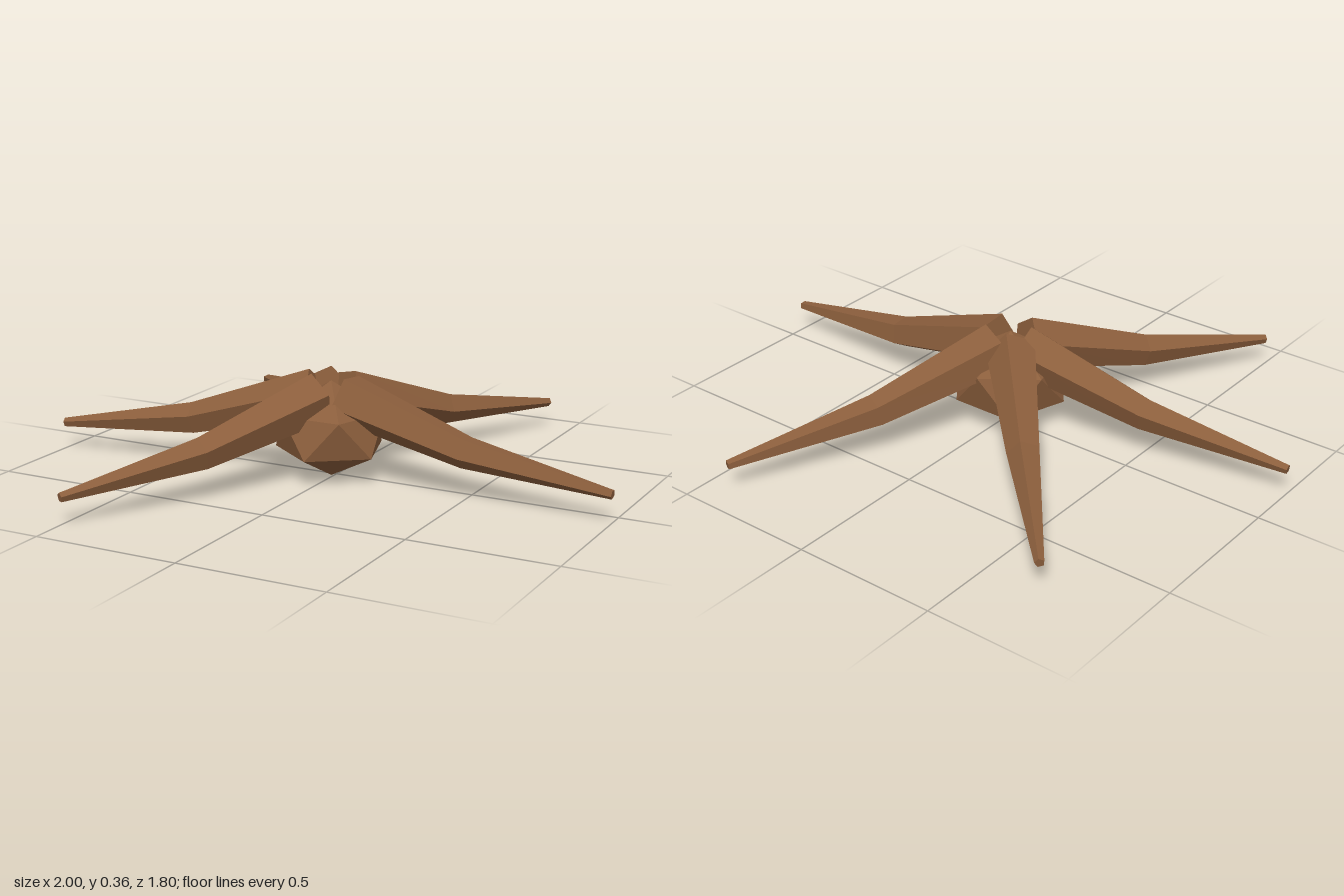
import * as THREE from 'three';
import { ConvexGeometry } from 'three/addons/geometries/ConvexGeometry.js';

const SIDES = 5;
const HUB = new THREE.Vector3(-0.01, 0, 0.02);
const UP = new THREE.Vector3(0, 1, 0);

// Tapering, drooping five-sided arm from the hub to a tip in plan (x, z)
function armGeometry(tipX, tipZ, rollDegrees) {
  const out = new THREE.Vector3(tipX - HUB.x, 0, tipZ - HUB.z);
  const length = out.length();
  out.normalize();
  const side = out.clone().cross(UP);
  // distance along the arm, height, radius, slope of the cross-section
  const sections = [
    [0.055, 0.278, 0.088, -0.27],
    [0.5, 0.155, 0.056, -0.19],
    [length, 0.094, 0.016, -0.12],
  ];
  const positions = [];
  const index = [];
  const roll = THREE.MathUtils.degToRad(rollDegrees);
  for (const [distance, height, radius, slope] of sections) {
    const centre = HUB.clone().addScaledVector(out, distance).setY(height);
    const normal = UP.clone().addScaledVector(out, -slope).normalize();
    for (let j = 0; j < SIDES; j++) {
      const a = roll + (j / SIDES) * Math.PI * 2;
      const p = centre.clone()
        .addScaledVector(normal, Math.cos(a) * radius)
        .addScaledVector(side, Math.sin(a) * radius);
      positions.push(p.x, p.y, p.z);
    }
  }
  // Side faces
  for (let i = 0; i < sections.length - 1; i++) {
    for (let j = 0; j < SIDES; j++) {
      const a = i * SIDES + j;
      const b = i * SIDES + ((j + 1) % SIDES);
      index.push(a, b, b + SIDES, a, b + SIDES, a + SIDES);
    }
  }
  // Flat ends
  const tip = (sections.length - 1) * SIDES;
  for (let j = 1; j < SIDES - 1; j++) {
    index.push(0, j + 1, j);
    index.push(tip, tip + j, tip + j + 1);
  }
  const indexed = new THREE.BufferGeometry();
  indexed.setAttribute('position', new THREE.Float32BufferAttribute(positions, 3));
  indexed.setIndex(index);
  const geometry = indexed.toNonIndexed();
  geometry.computeVertexNormals();
  return geometry;
}

// Faceted twenty-sided body with a point at the top and bottom
function bodyGeometry() {
  const points = [
    new THREE.Vector3(HUB.x, 0, HUB.z),
    new THREE.Vector3(HUB.x, 0.33, HUB.z),
  ];
  for (let i = 0; i < 5; i++) {
    for (const [y, radius, turn] of [[0.095, 0.19, 0], [0.225, 0.18, 0.5]]) {
      const a = ((i + turn) / 5) * Math.PI * 2;
      points.push(new THREE.Vector3(
        HUB.x + Math.sin(a) * radius, y, HUB.z + Math.cos(a) * radius));
    }
  }
  return new ConvexGeometry(points);
}

export function createModel() {
  const model = new THREE.Group();
  model.name = 'starfish';

  const brown = new THREE.MeshStandardMaterial({ color: 0x8b5e3c });
  brown.name = 'brown';

  const body = new THREE.Mesh(bodyGeometry(), brown);
  body.name = 'body';
  model.add(body);

  // Tip x, tip z and roll of the cross-section
  const arms = [
    ['leftArm', 1, 0.065, 30],
    ['backLeftArm', 0.41, -0.9, 22],
    ['backRightArm', -0.69, -0.72, 14],
    ['rightArm', -1, 0.17, 0],
    ['frontRightArm', -0.49, 0.89, 0],
  ];
  for (const [name, x, z, roll] of arms) {
    const arm = new THREE.Mesh(armGeometry(x, z, roll), brown);
    arm.name = name;
    model.add(arm);
  }
  return model;
}
